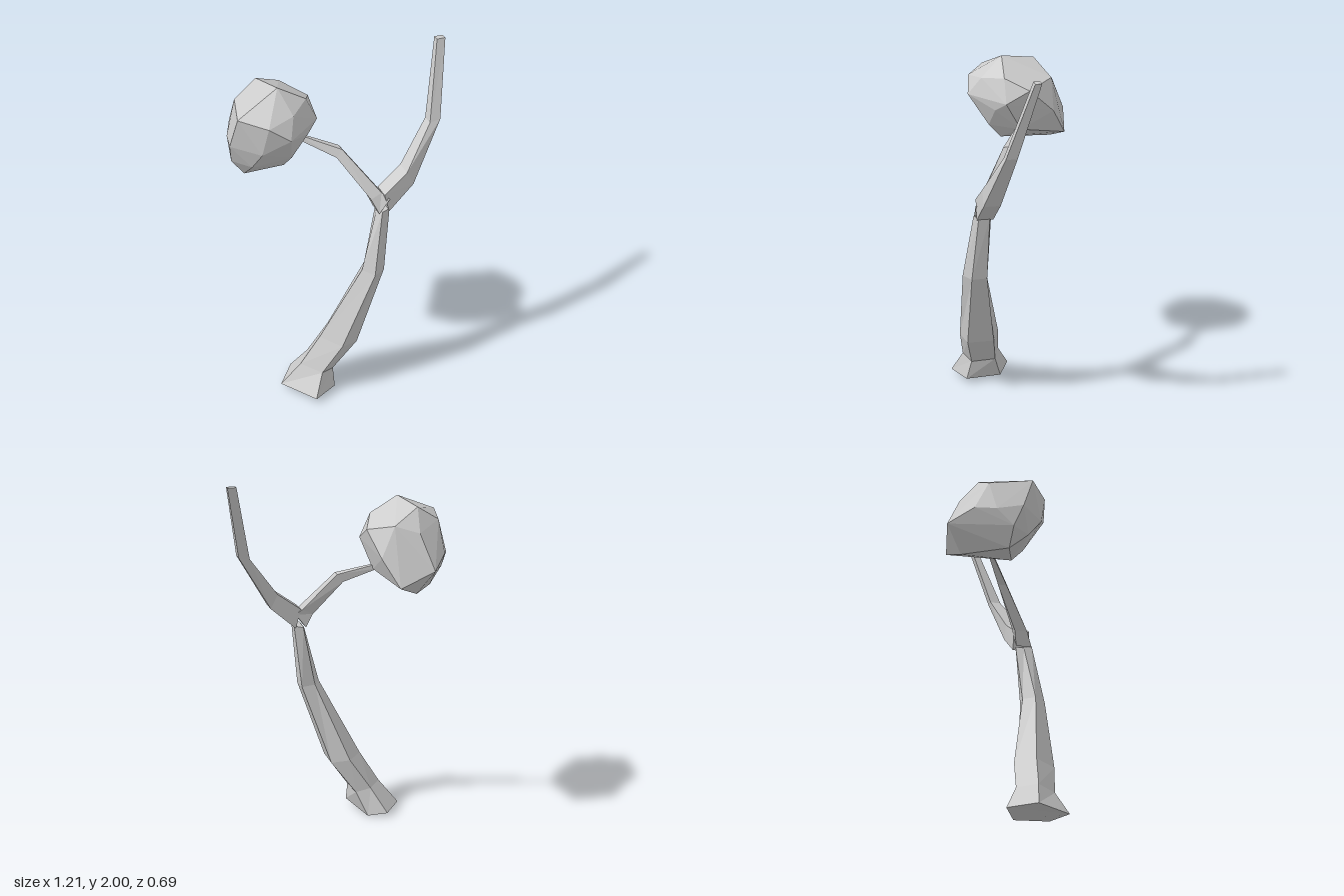
import * as THREE from 'three';
import { ConvexGeometry } from 'three/addons/geometries/ConvexGeometry.js';

const grey = new THREE.MeshStandardMaterial({ color: 0xcccccc, flatShading: true });
grey.name = 'plain grey';

// Joins a stack of equal rings (counterclockwise seen from the far end) and closes both ends.
function loft(name, rings) {
  const n = rings[0].length;
  const pos = [];
  const tri = (a, b, c) => pos.push(...a, ...b, ...c);
  for (let i = 0; i < rings.length - 1; i++) {
    for (let j = 0; j < n; j++) {
      const k = (j + 1) % n;
      const [a, b, c, d] = [rings[i][j], rings[i][k], rings[i + 1][k], rings[i + 1][j]];
      tri(a, b, c);
      tri(a, c, d);
    }
  }
  const end = rings[rings.length - 1];
  for (let j = 1; j < n - 1; j++) {
    tri(rings[0][0], rings[0][j + 1], rings[0][j]);
    tri(end[0], end[j], end[j + 1]);
  }
  const geometry = new THREE.BufferGeometry();
  geometry.setAttribute('position', new THREE.Float32BufferAttribute(pos, 3));
  geometry.computeVertexNormals();
  const mesh = new THREE.Mesh(geometry, grey);
  mesh.name = name;
  return mesh;
}

// Four-sided branch section: centre, half-width (ux, uy) across, half-depth h along z.
function section([x, y, z, ux, uy, h]) {
  return [[1, 1], [-1, 1], [-1, -1], [1, -1]].map(([s, t]) => [x + s * ux, y + s * uy, z + t * h]);
}

export function createModel() {
  const group = new THREE.Group();
  group.name = 'tree';

  // Leaning five-sided trunk, flared at the foot
  group.add(loft('trunk', [
    [[-0.27, 0.03, 0.34], [-0.13, 0.03, 0.27], [-0.2, 0, 0.06], [-0.3, 0.03, 0], [-0.41, 0.03, 0.14]],
    [[-0.21, 0.16, 0.28], [-0.13, 0.14, 0.24], [-0.14, 0.14, 0.1], [-0.22, 0.17, 0.07], [-0.3, 0.17, 0.17]],
    [[-0.1, 0.34, 0.31], [0, 0.33, 0.28], [0, 0.33, 0.13], [-0.1, 0.35, 0.09], [-0.19, 0.35, 0.19]],
    [[0.09, 0.79, 0.315], [0.16, 0.79, 0.275], [0.155, 0.79, 0.19], [0.08, 0.8, 0.185], [0.04, 0.8, 0.25]],
    [[0.15, 1.16, 0.26], [0.2, 1.16, 0.24], [0.2, 1.16, 0.18], [0.15, 1.15, 0.165], [0.135, 1.14, 0.21]],
  ]));

  // Long bare branch
  group.add(loft('bareBranch', [
    [0.18, 1.205, 0.205, -0.015, 0.055, 0.045],
    [0.32, 1.32, 0.19, -0.02, 0.04, 0.045],
    [0.495, 1.59, 0.12, -0.03, -0.005, 0.03],
    [0.575, 1.998, 0, -0.024, 0, 0.017],
  ].map(section)));

  // Short branch carrying the foliage
  group.add(loft('foliageBranch', [
    [0.165, 1.19, 0.21, -0.03, -0.04, 0.045],
    [0.13, 1.245, 0.185, -0.03, -0.015, 0.036],
    [-0.02, 1.46, 0.045, -0.016, -0.022, 0.025],
    [-0.21, 1.54, -0.065, -0.004, -0.012, 0.012],
  ].map(section)));

  // Faceted clump of foliage
  const corners = [
    // crown
    [-0.34, 1.9, 0.02], [-0.39, 1.87, -0.17], [-0.58, 1.8, 0.09], [-0.19, 1.81, 0.03],
    [-0.24, 1.79, -0.24], [-0.52, 1.79, -0.14], [-0.3, 1.79, 0.14], [-0.45, 1.77, 0.19],
    // middle
    [-0.34, 1.69, 0.21], [-0.61, 1.62, 0.03], [-0.58, 1.6, -0.11], [-0.53, 1.62, -0.22],
    [-0.43, 1.56, -0.35], [-0.37, 1.75, -0.27], [-0.17, 1.62, -0.24], [-0.13, 1.75, -0.1],
    [-0.13, 1.68, 0.03], [-0.2, 1.63, 0.08], [-0.48, 1.61, 0.16],
    // underside
    [-0.25, 1.47, -0.32], [-0.59, 1.5, -0.02], [-0.51, 1.5, 0.08], [-0.3, 1.52, 0.1],
    [-0.18, 1.52, -0.06], [-0.52, 1.4, -0.03], [-0.36, 1.42, -0.26], [-0.32, 1.44, 0.03],
  ].map((p) => new THREE.Vector3(...p));
  const foliage = new THREE.Mesh(new ConvexGeometry(corners), grey);
  foliage.name = 'foliage';
  group.add(foliage);

  return group;
}
